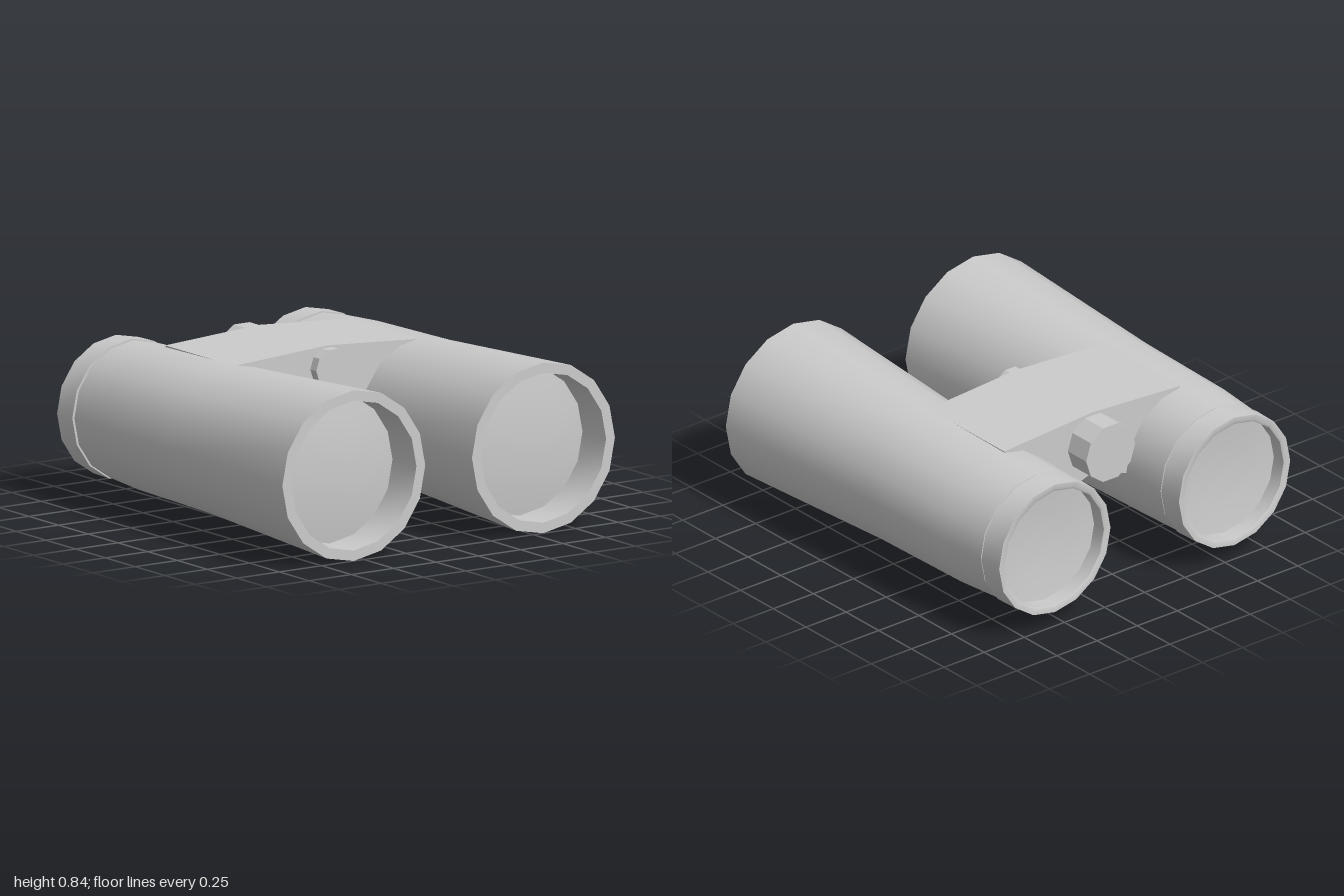
import * as THREE from 'three';
import { toCreasedNormals } from 'three/addons/utils/BufferGeometryUtils.js';

const material = new THREE.MeshStandardMaterial({ color: 0xcccccc });

function part(name, geometry, parent) {
  const mesh = new THREE.Mesh(geometry, material);
  mesh.name = name;
  parent.add(mesh);
  return mesh;
}

// Revolves [radius, z] points around the z axis, 16 sides.
// The middle of the tube bulges slightly outward, away from the bridge.
function turned(points, side) {
  const geometry = new THREE.LatheGeometry(points.map(([r, z]) => new THREE.Vector2(r, z)), 16);
  geometry.rotateX(Math.PI / 2);
  const position = geometry.attributes.position;
  for (let i = 0; i < position.count; i++) {
    const z = position.getZ(i);
    const bulge = z < -0.6 ? THREE.MathUtils.clamp((z + 0.86) / 0.26, 0, 1)
      : THREE.MathUtils.clamp((1 - z) / 1.6, 0, 1);
    position.setX(i, position.getX(i) + side * 0.009 * bulge);
  }
  return toCreasedNormals(geometry, 0.5);
}

// Ten-sided knob along z
function knob(name, radius, y, z0, z1, parent) {
  const geometry = new THREE.CylinderGeometry(radius, radius, z1 - z0, 10, 1, false, Math.PI / 2);
  geometry.rotateX(Math.PI / 2);
  const mesh = part(name, toCreasedNormals(geometry, 0.4), parent);
  mesh.position.set(0, y, (z0 + z1) / 2);
}

function createModel() {
  const model = new THREE.Group();
  model.name = 'binoculars';

  for (const side of [-1, 1]) {
    const barrel = new THREE.Group();
    barrel.name = side > 0 ? 'leftBarrel' : 'rightBarrel';
    barrel.position.set(side * 0.56, 0.42, 0);
    model.add(barrel);

    // Eyecup with its recessed eyepiece wall
    part('eyecup', turned([
      [0.31, -0.9], [0.31, -0.995], [0.32, -1], [0.347, -1],
      [0.35, -0.868], [0.335, -0.868]
    ], side), barrel);
    part('eyepieceLens', turned([[0, -0.9], [0.17, -0.905], [0.31, -0.92]], side), barrel);

    // Tapered tube: groove, body, front rim and recess wall
    part('tube', turned([
      [0.335, -0.868], [0.335, -0.857], [0.345, -0.857], [0.358, -0.6],
      [0.37, 0], [0.422, 1], [0.37, 1], [0.37, 0.8]
    ], side), barrel);
    part('objectiveLens', turned([[0.37, 0.8], [0.25, 0.817], [0.12, 0.827], [0, 0.83]], side), barrel);
  }

  // Bridge with a shallow roof and a notched underside, its ends sunk in the tubes
  const section = new THREE.Shape([
    [0, 0.817], [-0.55, 0.783], [-0.3, 0.39], [0, 0.49], [0.3, 0.39], [0.55, 0.783]
  ].map(([x, y]) => new THREE.Vector2(x, y)));
  const bridge = new THREE.ExtrudeGeometry(section, { depth: 0.58, bevelEnabled: false });
  bridge.translate(0, 0, -0.6);
  part('bridge', bridge, model);

  knob('focusKnob', 0.153, 0.655, -0.74, -0.58, model);
  knob('hingeCap', 0.1, 0.71, -0.04, 0.03, model);

  return model;
}

export { createModel };
